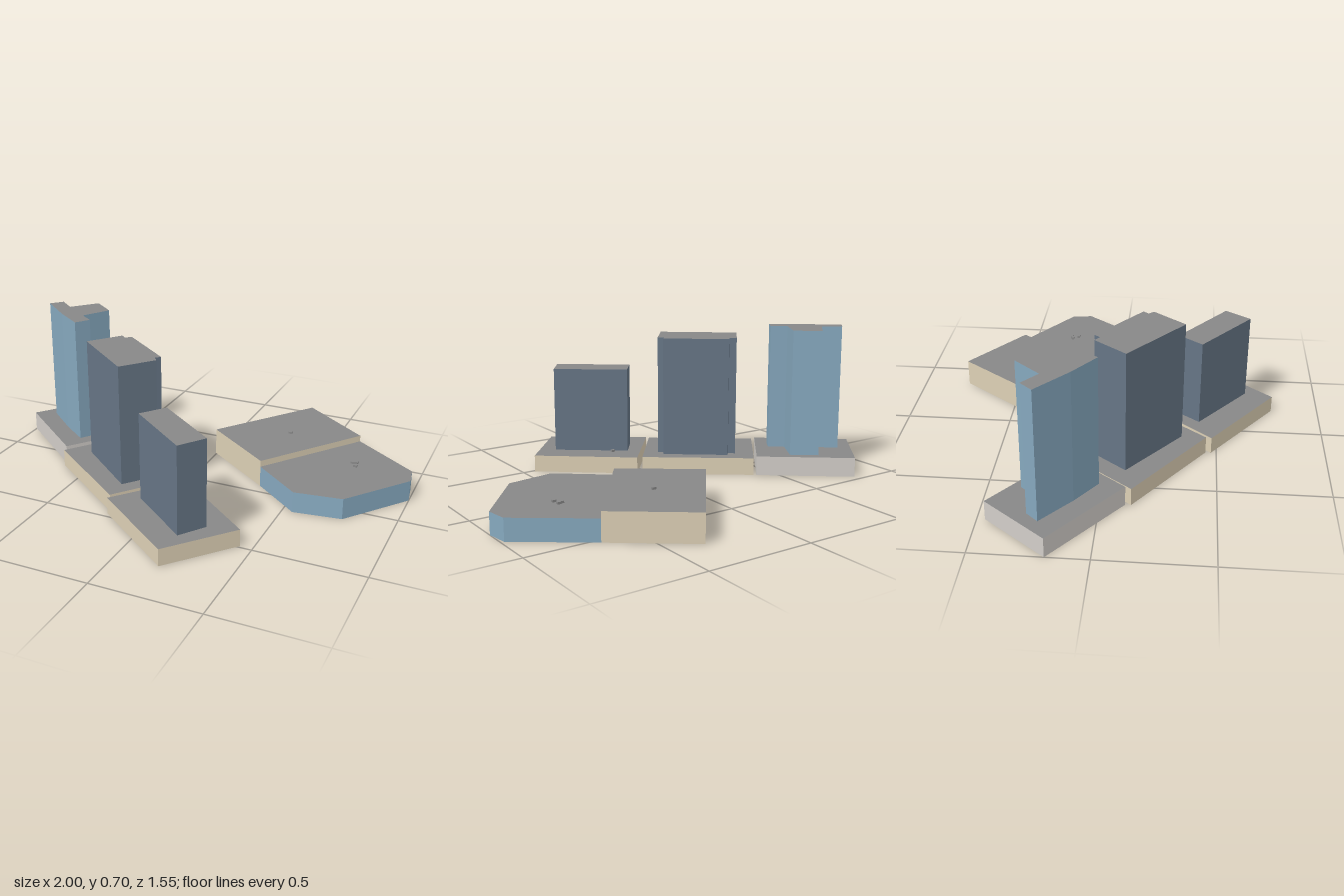
import * as THREE from 'three';

const mat = (color) => new THREE.MeshStandardMaterial({ color, side: THREE.DoubleSide });
const ROOF = mat(0x888888);
const CREAM = mat(0xddd0b5);
const PALE = mat(0xd2cec9);
const BLUE = mat(0x86a8be);
const SLATE = mat(0x667585);

// Upright walls around a footprint of [x, z] corners, plus a flat roof; open underneath
function block(name, footprint, height, wallMaterial) {
  const pts = footprint.map(([x, z]) => new THREE.Vector2(x, -z));
  if (THREE.ShapeUtils.isClockWise(pts)) pts.reverse();

  const pos = [];
  pts.forEach((a, i) => {
    const b = pts[(i + 1) % pts.length];
    const a0 = [a.x, 0, -a.y], b0 = [b.x, 0, -b.y];
    const a1 = [a.x, height, -a.y], b1 = [b.x, height, -b.y];
    pos.push(...a0, ...b0, ...b1, ...a0, ...b1, ...a1);
  });
  const wallGeo = new THREE.BufferGeometry();
  wallGeo.setAttribute('position', new THREE.Float32BufferAttribute(pos, 3));
  wallGeo.computeVertexNormals();
  const walls = new THREE.Mesh(wallGeo, wallMaterial);
  walls.name = name + 'Walls';

  const roofGeo = new THREE.ShapeGeometry(new THREE.Shape(pts));
  roofGeo.rotateX(-Math.PI / 2).translate(0, height, 0);
  const roof = new THREE.Mesh(roofGeo, ROOF);
  roof.name = name + 'Roof';

  const group = new THREE.Group();
  group.name = name;
  group.add(walls, roof);
  return group;
}

export function createModel() {
  const model = new THREE.Group();
  model.name = 'cityBlocks';

  // Row of three podiums
  model.add(
    block('backPodium', [[-1, -0.185], [-0.78, -0.465], [-0.41, -0.175], [-0.63, 0.11]], 0.093, PALE),
    block('middlePodium', [[-0.63, 0.135], [-0.4, -0.165], [0.03, 0.16], [-0.2, 0.45]], 0.083, CREAM),
    block('frontPodium', [[-0.2, 0.475], [0.05, 0.175], [0.443, 0.49], [0.2, 0.773]], 0.08, CREAM),
  );

  // Towers, reaching the ground through the podiums
  model.add(
    block('backTower', [[-0.894, -0.224], [-0.846, -0.277], [-0.77, -0.214], [-0.67, -0.327], [-0.563, -0.242],
      [-0.638, -0.115], [-0.572, -0.068], [-0.617, -0.003], [-0.745, -0.096]], 0.7, BLUE),
    block('middleTower', [[-0.494, 0.1], [-0.382, -0.042], [-0.355, -0.02], [-0.334, -0.045], [-0.085, 0.148],
      [-0.105, 0.17], [-0.085, 0.195], [-0.2, 0.338]], 0.655, SLATE),
    block('frontTower', [[-0.063, 0.416], [0.02, 0.308], [0.306, 0.528], [0.224, 0.642]], 0.49, SLATE),
  );

  // Two wide low halls side by side
  model.add(
    block('largeHall', [[-0.005, -0.305], [0.347, -0.775], [0.675, -0.53], [0.325, -0.06]], 0.13, CREAM),
    block('angledHall', [[0.325, -0.06], [0.675, -0.53], [0.985, -0.305], [1, -0.205], [0.77, 0.09],
      [0.548, 0.12]], 0.1, BLUE),
  );

  // Tiny rooftop units: x, roof height, z
  const unitGeo = new THREE.BoxGeometry(0.018, 0.01, 0.013);
  for (const [x, y, z] of [[0.35, 0.13, -0.415], [0.71, 0.1, -0.275], [0.725, 0.1, -0.28],
    [0.73, 0.1, -0.245], [0.09, 0.08, 0.335]]) {
    const unit = new THREE.Mesh(unitGeo, ROOF);
    unit.name = 'rooftopUnit';
    unit.position.set(x, y + 0.005, z);
    model.add(unit);
  }
  return model;
}
